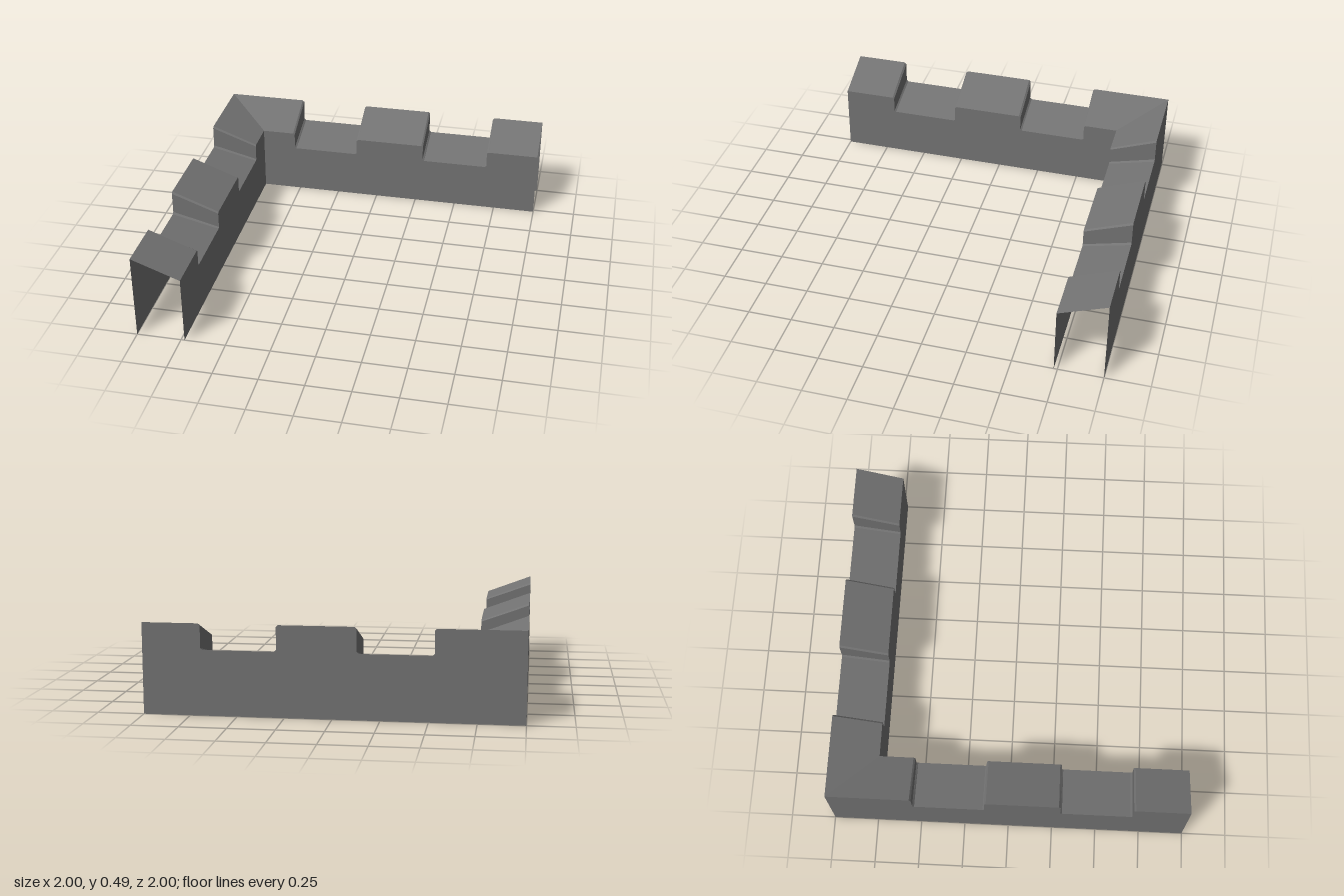
import * as THREE from 'three';

const OUTER = -1, INNER = -0.73, END = 1;
const BEVEL = 0.01;

const stone = new THREE.MeshStandardMaterial({ color: 0x737373, side: THREE.DoubleSide });
stone.name = 'grey stone';

// Crenellation along one arm: [distance, rise], rise 0 = gap floor, 1 = merlon top
function battlementStations() {
  const stations = [[OUTER, 1]];
  const gaps = [[-0.53, -0.13], [0.29, 0.69]];
  for (const [a, b] of gaps) {
    stations.push([a - BEVEL, 1], [a, 0.93], [a, 0.07], [a + BEVEL, 0]);
    stations.push([b - BEVEL, 0], [b, 0.07], [b, 0.93], [b + BEVEL, 1]);
  }
  stations.push([END, 1]);
  return stations;
}

// Open cross-section: outer wall, sloping top, inner wall (mitred at the corner)
function crossSection([s, rise], index) {
  const sInner = index === 0 ? INNER : s;
  return [
    [s, 0, OUTER],
    [s, 0.35 + 0.14 * rise, OUTER],
    [sInner, 0.285 + 0.103 * rise, INNER],
    [sInner, 0, INNER],
  ];
}

// Hollow arm without end cap or underside; swapped = runs along z instead of x
function armGeometry(swapped) {
  const sections = battlementStations().map(crossSection);
  const positions = [];
  const addTriangle = (a, b, c) => {
    const corners = swapped ? [a, c, b] : [a, b, c];
    for (const [x, y, z] of corners) positions.push(...(swapped ? [z, y, x] : [x, y, z]));
  };
  for (let i = 0; i < sections.length - 1; i++) {
    const a = sections[i], b = sections[i + 1];
    for (let j = 0; j < 3; j++) {
      // walls have no width where the crenellation steps vertically
      if (j !== 1 && a[j][0] === b[j][0]) continue;
      addTriangle(a[j], a[j + 1], b[j + 1]);
      addTriangle(a[j], b[j + 1], b[j]);
    }
  }
  const geometry = new THREE.BufferGeometry();
  geometry.setAttribute('position', new THREE.Float32BufferAttribute(positions, 3));
  geometry.computeVertexNormals();
  return geometry;
}

export function createModel() {
  const group = new THREE.Group();
  group.name = 'battlementCorner';

  const backWall = new THREE.Mesh(armGeometry(false), stone);
  backWall.name = 'backBattlement';
  const sideWall = new THREE.Mesh(armGeometry(true), stone);
  sideWall.name = 'rightBattlement';

  group.add(backWall, sideWall);
  return group;
}
